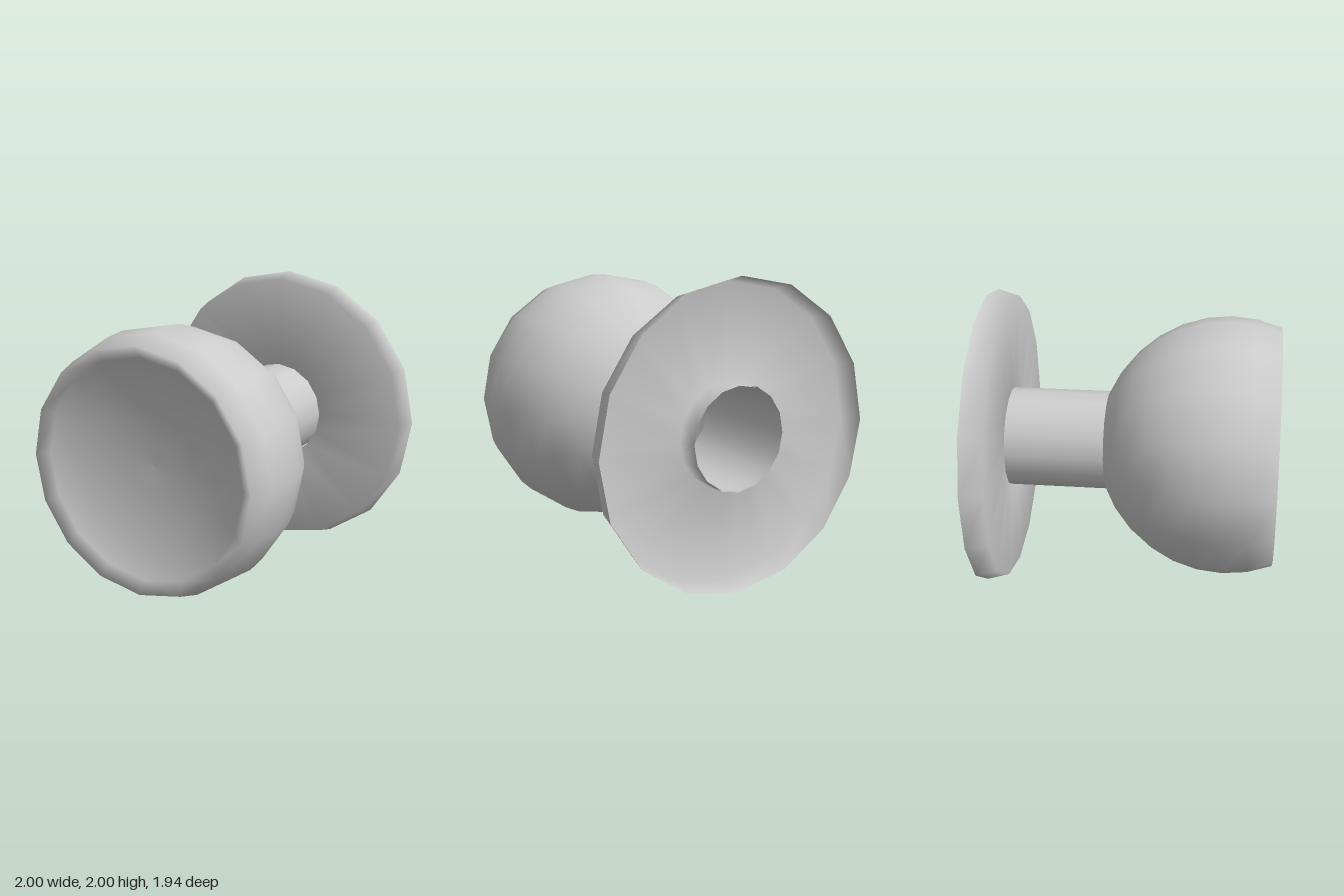
import * as THREE from 'three';

const SIDES = 16;

// Turned part: profile of [radius, z] pairs spun around the z axis at mid height
function turned(name, profile, material) {
  const points = profile.map(([r, z]) => new THREE.Vector2(r, z));
  const geometry = new THREE.LatheGeometry(points, SIDES);
  geometry.rotateX(Math.PI / 2);
  const mesh = new THREE.Mesh(geometry, material);
  mesh.name = name;
  mesh.position.y = 1;
  return mesh;
}

export function createModel() {
  const group = new THREE.Group();
  group.name = 'doorKnob';
  const material = new THREE.MeshStandardMaterial({ color: 0xcccccc, side: THREE.DoubleSide });

  // Knob: sphere rings from the stem to the rim, then a flattened cap pushed inwards
  const R = 0.87, centre = 0.637, step = Math.PI / 16;
  const rim = centre + R * Math.sin(2 * step);
  const dishFlatten = 0.35;
  const knob = [];
  for (let i = -6; i <= 8; i++) {
    const r = i === 8 ? 0 : R * Math.cos(i * step);
    const z = centre + R * Math.sin(i * step);
    knob.push([r, i <= 2 ? z : rim - (z - rim) * dishFlatten]);
  }
  group.add(turned('knob', knob, material));

  // Stem: open tube from the plate to the knob
  const stemRadius = R * Math.cos(6 * step);
  const knobBack = centre - R * Math.sin(6 * step);
  group.add(turned('stem', [[stemRadius, -0.965], [stemRadius, knobBack]], material));

  // Back plate: pressed shell, open at the back, with a flared rim and inner collar
  group.add(turned('backPlate', [
    [1, -0.97], [0.96, -0.825], [0.34, -0.825], [0.34, -0.97],
  ], material));

  return group;
}
